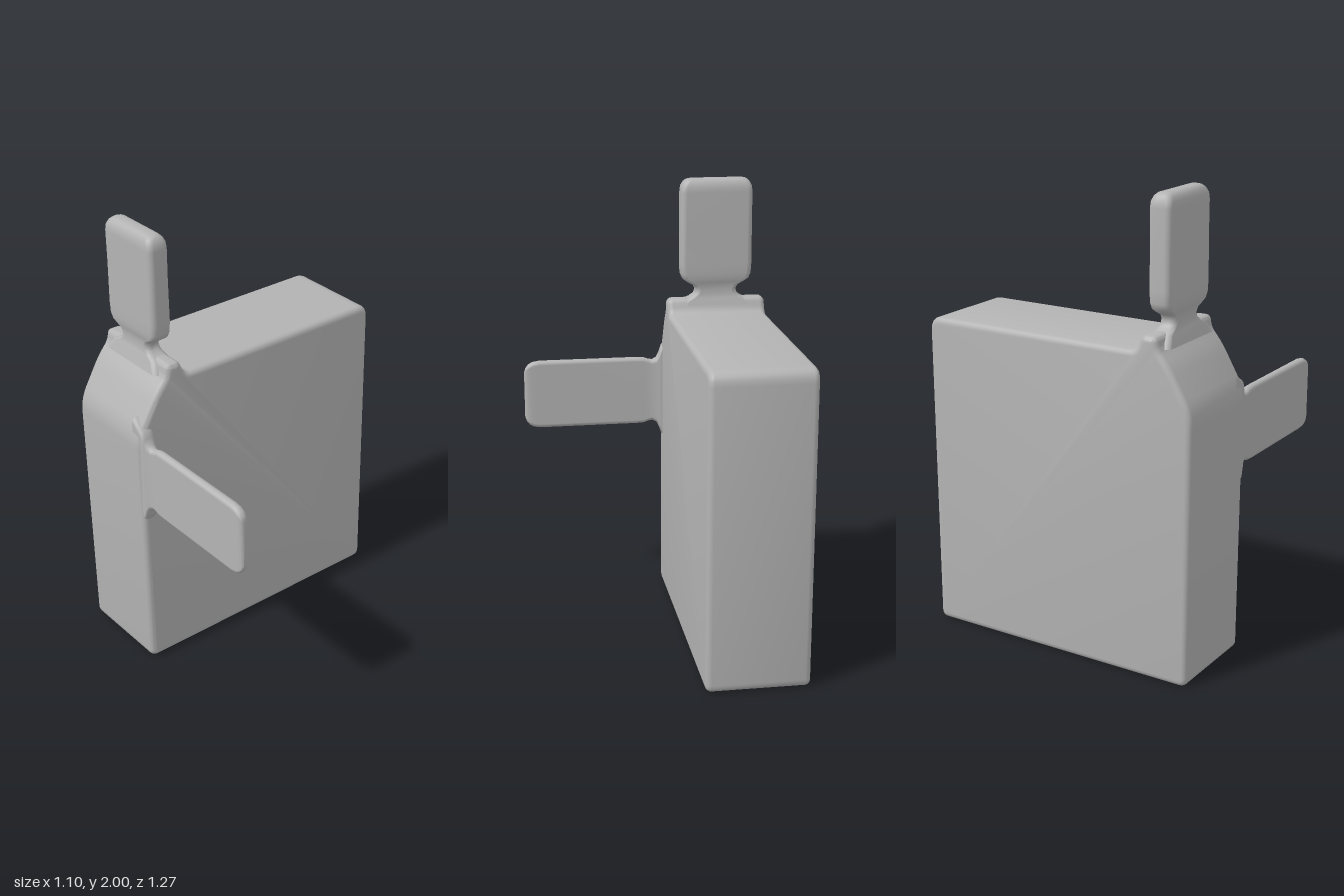
import * as THREE from 'three';
import { toCreasedNormals } from 'three/addons/utils/BufferGeometryUtils.js';

// Closed outline whose corners [x, y, radius] are rounded
function roundedShape(points) {
  const shape = new THREE.Shape();
  const n = points.length;
  points.forEach(([x, y, r], i) => {
    const corner = new THREE.Vector2(x, y);
    const toward = ([px, py]) =>
      new THREE.Vector2(px, py).sub(corner).setLength(r).add(corner);
    const a = toward(points[(i + n - 1) % n]);
    const b = toward(points[(i + 1) % n]);
    if (i === 0) shape.moveTo(a.x, a.y);
    else shape.lineTo(a.x, a.y);
    shape.quadraticCurveTo(x, y, b.x, b.y);
  });
  shape.closePath();
  return shape;
}

// Skin along +y through rounded rectangles [y, halfWidth, halfDepth], capped on top
function loft(sections) {
  const positions = [], index = [], steps = 4;
  const n = 4 * (steps + 1);
  for (const [y, hw, hd] of sections) {
    const r = Math.min(0.025, hd * 0.9);
    for (let c = 0; c < 4; c++) {
      const sx = c === 0 || c === 3 ? 1 : -1;
      const sz = c < 2 ? 1 : -1;
      for (let s = 0; s <= steps; s++) {
        const a = (c + s / steps) * Math.PI / 2;
        positions.push(sx * (hw - r) + r * Math.cos(a), y, sz * (hd - r) + r * Math.sin(a));
      }
    }
  }
  for (let i = 0; i < sections.length - 1; i++) {
    for (let j = 0; j < n; j++) {
      const a = i * n + j, b = i * n + (j + 1) % n;
      index.push(a, a + n, b, b, a + n, b + n);
    }
  }
  const last = (sections.length - 1) * n;
  const tip = positions.length / 3;
  positions.push(0, sections[sections.length - 1][0], 0);
  for (let j = 0; j < n; j++) index.push(tip, last + (j + 1) % n, last + j);
  const geometry = new THREE.BufferGeometry();
  geometry.setAttribute('position', new THREE.Float32BufferAttribute(positions, 3));
  geometry.setIndex(index);
  geometry.computeVertexNormals();
  return geometry;
}

export function createModel() {
  const group = new THREE.Group();
  const grey = new THREE.MeshStandardMaterial({ color: 0xb4b4b4 });
  grey.name = 'plain grey';

  const add = (name, geometry) => {
    const mesh = new THREE.Mesh(geometry, grey);
    mesh.name = name;
    group.add(mesh);
  };

  // Body: side outline (z, y) extruded across x, with soft edges
  const outline = roundedShape([
    [-0.635, 0.005, 0.035], [0.625, 0.005, 0.035], [0.635, 1.17, 0.06],
    [0.535, 1.345, 0.04], [0.485, 1.405, 0.02], [0.475, 1.457, 0.02],
    [0.41, 1.457, 0.02], [0.385, 1.392, 0.03], [-0.635, 1.392, 0.06],
  ]);
  const bevel = 0.025, width = 0.45;
  const body = new THREE.ExtrudeGeometry(outline, {
    depth: width - 2 * bevel, curveSegments: 5,
    bevelEnabled: true, bevelThickness: bevel, bevelSize: bevel,
    bevelOffset: -bevel, bevelSegments: 4,
  });
  body.translate(0, 0, -(width / 2 - bevel));
  body.rotateY(-Math.PI / 2);
  body.translate(-0.325, 0, 0);
  add('body', toCreasedNormals(body, 0.6));

  // Upright tab with its flared neck
  const tab = loft([
    [1.40, 0.18, 0.06], [1.445, 0.15, 0.046], [1.46, 0.12, 0.04],
    [1.475, 0.1, 0.037], [1.495, 0.093, 0.036], [1.515, 0.103, 0.037],
    [1.53, 0.13, 0.041], [1.545, 0.151, 0.045], [1.57, 0.161, 0.048],
    [1.62, 0.164, 0.049], [1.80, 0.163, 0.048], [1.94, 0.163, 0.049],
    [1.965, 0.160, 0.047], [1.985, 0.150, 0.039], [1.996, 0.138, 0.028],
    [2.0, 0.122, 0.015],
  ]);
  tab.translate(-0.325, 0, 0.45);
  add('upright tab', tab);

  // Side arm with its flared root
  const arm = loft([
    [-0.16, 0.26, 0.03], [-0.1, 0.22, 0.032], [-0.088, 0.185, 0.03],
    [-0.075, 0.16, 0.026], [-0.055, 0.149, 0.022], [-0.035, 0.152, 0.02],
    [-0.015, 0.16, 0.02], [0.02, 0.162, 0.02], [0.25, 0.162, 0.02],
    [0.48, 0.162, 0.021], [0.51, 0.157, 0.021], [0.53, 0.146, 0.02],
    [0.543, 0.13, 0.016], [0.55, 0.108, 0.008],
  ]);
  arm.rotateZ(-Math.PI / 2);
  arm.translate(0, 0.982, 0.595);
  add('side arm', arm);

  return group;
}
